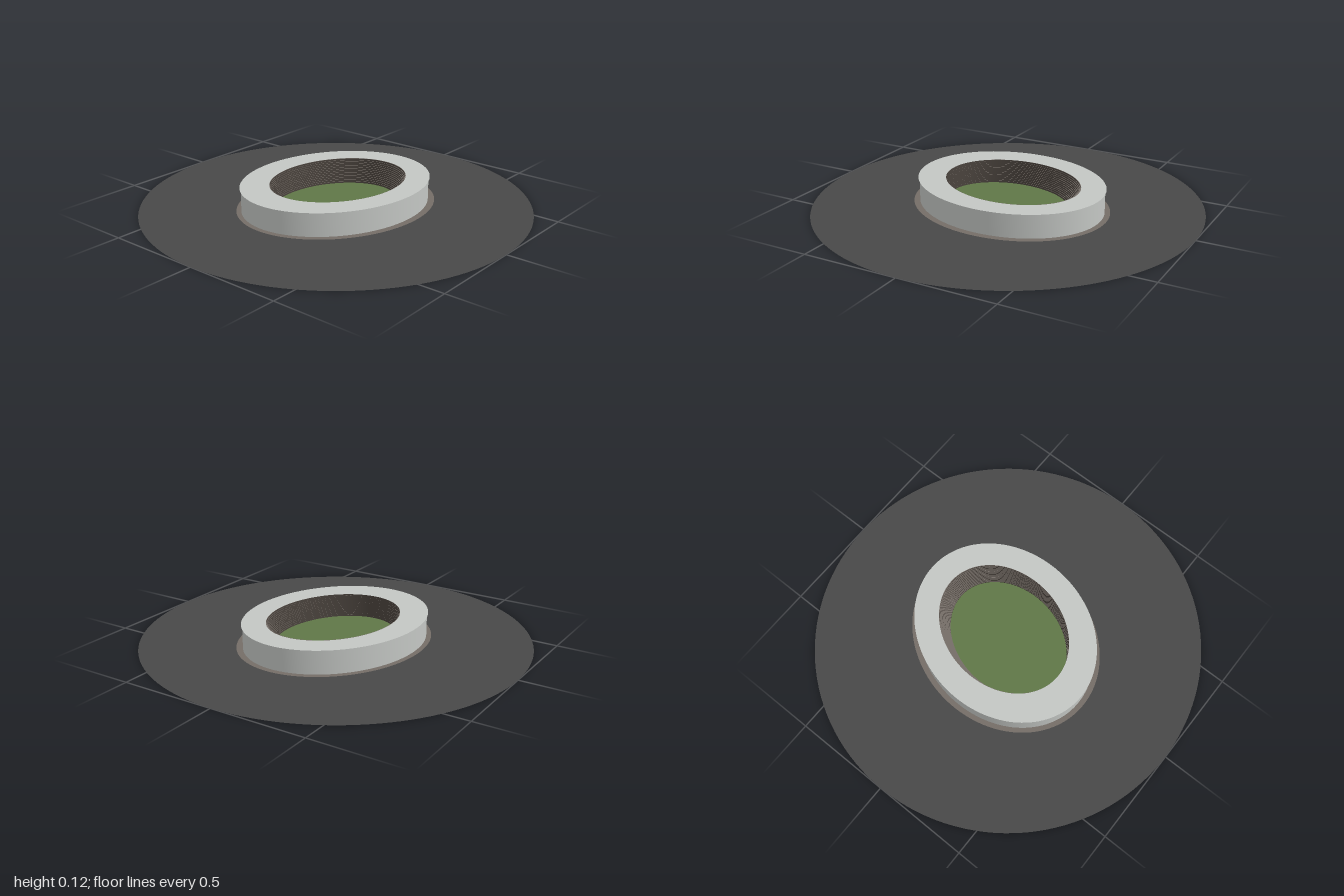
import * as THREE from 'three';

const SEGMENTS = 128;
const TILT = THREE.MathUtils.degToRad(13);
const STEPS = 14;
const ROOF_Y = 0.123;

// Tilted ellipses: centre x, centre z, short radius, long radius
const EDGE = [0, 0, 1, 1];
const APRON = [-0.005, -0.013, 0.45, 0.539];
const ROOF = [-0.009, -0.012, 0.425, 0.517];
const WALL = [-0.009, -0.012, 0.419, 0.511];
const OPENING = [-0.004, -0.025, 0.298, 0.3755];
const PITCH = [0, 0.002, 0.269, 0.3455];
const CENTRE = [0, 0.002, 0, 0];

function material(name, color) {
  const m = new THREE.MeshStandardMaterial({ color, side: THREE.DoubleSide });
  m.name = name;
  return m;
}

function mix(a, b, t) {
  return a.map((v, i) => v + (b[i] - v) * t);
}

// Closed strip between two ellipses at given heights
function band(a, ya, b, yb) {
  const positions = [];
  const indices = [];
  const s = Math.sin(TILT), c = Math.cos(TILT);
  for (const [[cx, cz, q, p], y] of [[a, ya], [b, yb]]) {
    for (let i = 0; i < SEGMENTS; i++) {
      const t = (i / SEGMENTS) * Math.PI * 2;
      const u = q * Math.cos(t), v = p * Math.sin(t);
      positions.push(cx + u * c + v * s, y, cz + u * s - v * c);
    }
  }
  for (let i = 0; i < SEGMENTS; i++) {
    const j = (i + 1) % SEGMENTS;
    indices.push(i, j, SEGMENTS + i, j, SEGMENTS + j, SEGMENTS + i);
  }
  const g = new THREE.BufferGeometry();
  g.setAttribute('position', new THREE.Float32BufferAttribute(positions, 3));
  g.setIndex(indices);
  g.computeVertexNormals();
  return g;
}

export function createModel() {
  const asphalt = material('asphalt', 0x484848);
  const concrete = material('concrete', 0xc3c6c3);
  const brown = material('paving', 0x746d67);
  const darkBrown = material('riser', 0x4a433d);
  const grass = material('grass', 0x5f7747);

  const model = new THREE.Group();
  model.name = 'stadium';
  const add = (name, geometry, mat, parent = model) => {
    const mesh = new THREE.Mesh(geometry, mat);
    mesh.name = name;
    parent.add(mesh);
  };

  // Flat ground pieces
  add('ground', band(EDGE, 0, APRON, 0), asphalt);
  add('apron', band(APRON, 0, PITCH, 0), brown);
  add('pitch', band(PITCH, 0, CENTRE, 0), grass);

  // Outer wall and overhanging roof
  add('outerWall', band(WALL, 0, WALL, ROOF_Y), concrete);
  add('roof', band(ROOF, ROOF_Y, OPENING, ROOF_Y), concrete);

  // Steep stepped stands from the pitch up to the roof opening
  const stands = new THREE.Group();
  stands.name = 'stands';
  model.add(stands);
  for (let i = 0; i < STEPS; i++) {
    const inner = mix(PITCH, OPENING, i / STEPS);
    const outer = mix(PITCH, OPENING, (i + 1) / STEPS);
    const y0 = (ROOF_Y * i) / STEPS, y1 = (ROOF_Y * (i + 1)) / STEPS;
    add('riser', band(inner, y1, inner, y0), darkBrown, stands);
    // The top tread meets the roof edge
    add('tread', band(outer, y1, inner, y1), brown, stands);
  }
  return model;
}
